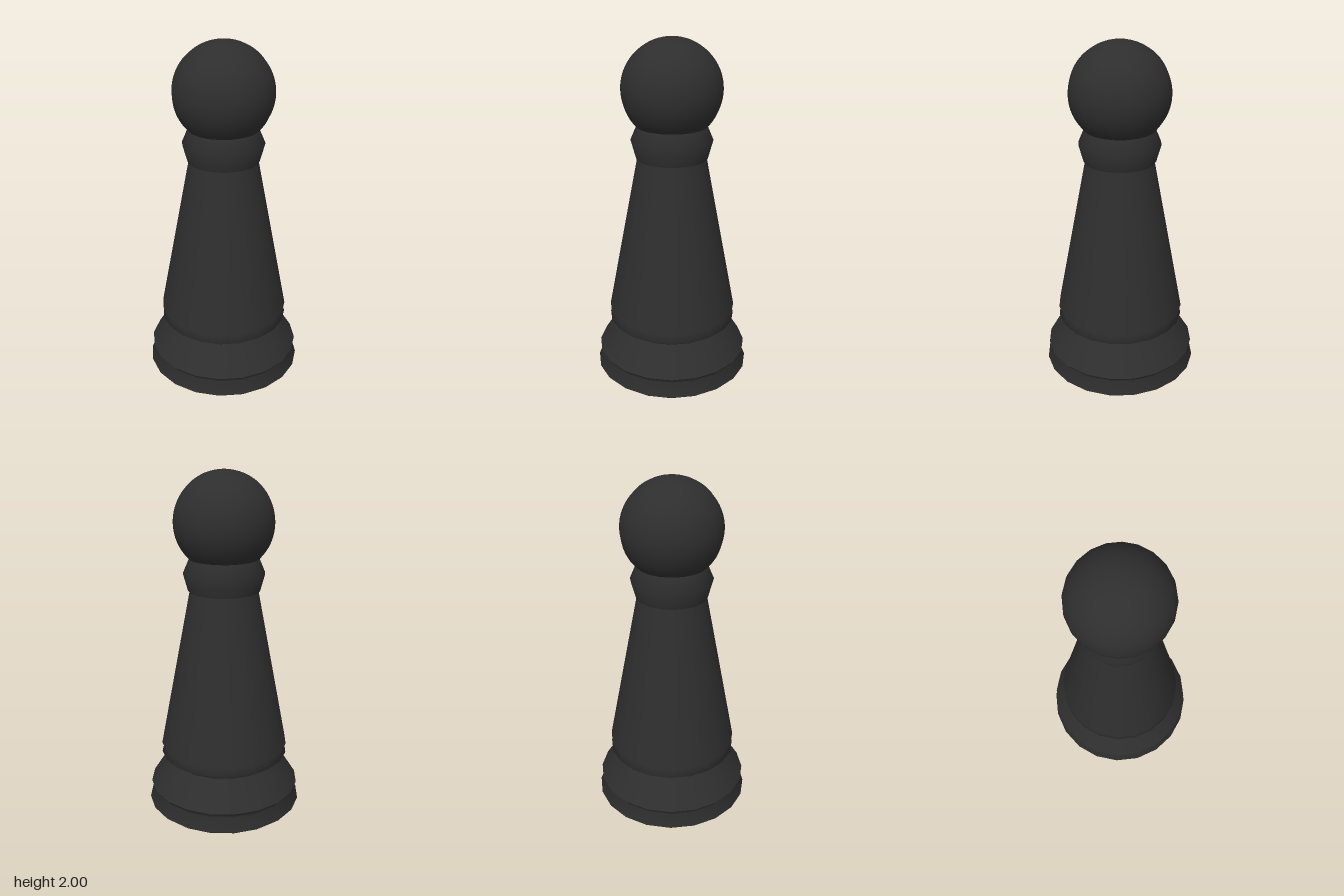
import * as THREE from 'three';

const SIDES = 20;

export function createModel() {
  const group = new THREE.Group();
  group.name = 'pawn';
  const black = new THREE.MeshStandardMaterial({ color: 0x2e2e2e });
  black.name = 'black';

  // Each section is turned separately so the edges between sections stay sharp
  const turn = (name, profile) => {
    const points = profile.map(([r, y]) => new THREE.Vector2(r, y));
    const mesh = new THREE.Mesh(new THREE.LatheGeometry(points, SIDES), black);
    mesh.name = name;
    group.add(mesh);
  };

  // Base
  turn('underside', [[0, 0], [0.44, 0]]);
  turn('foot', [[0.44, 0], [0.462, 0.02], [0.418, 0.087], [0.45, 0.13]]);
  turn('skirt', [[0.45, 0.13], [0.343, 0.3]]);
  turn('baseRing', [[0.343, 0.3], [0.38, 0.328], [0.36, 0.386]]);

  // Tapered body with its small overhang
  turn('bodyLip', [[0.36, 0.386], [0.38, 0.386]]);
  turn('body', [[0.38, 0.386], [0.198, 1.328]]);

  // Collar
  turn('collarUnderside', [[0.198, 1.328], [0.207, 1.328]]);
  turn('collar', [[0.207, 1.328], [0.235, 1.43], [0.2, 1.512]]);
  turn('collarTop', [[0.2, 1.512], [0.15, 1.512]]);

  // Ball head
  const head = new THREE.Mesh(new THREE.SphereGeometry(0.285, SIDES, 32), black);
  head.name = 'head';
  head.position.y = 1.715;
  group.add(head);

  return group;
}
